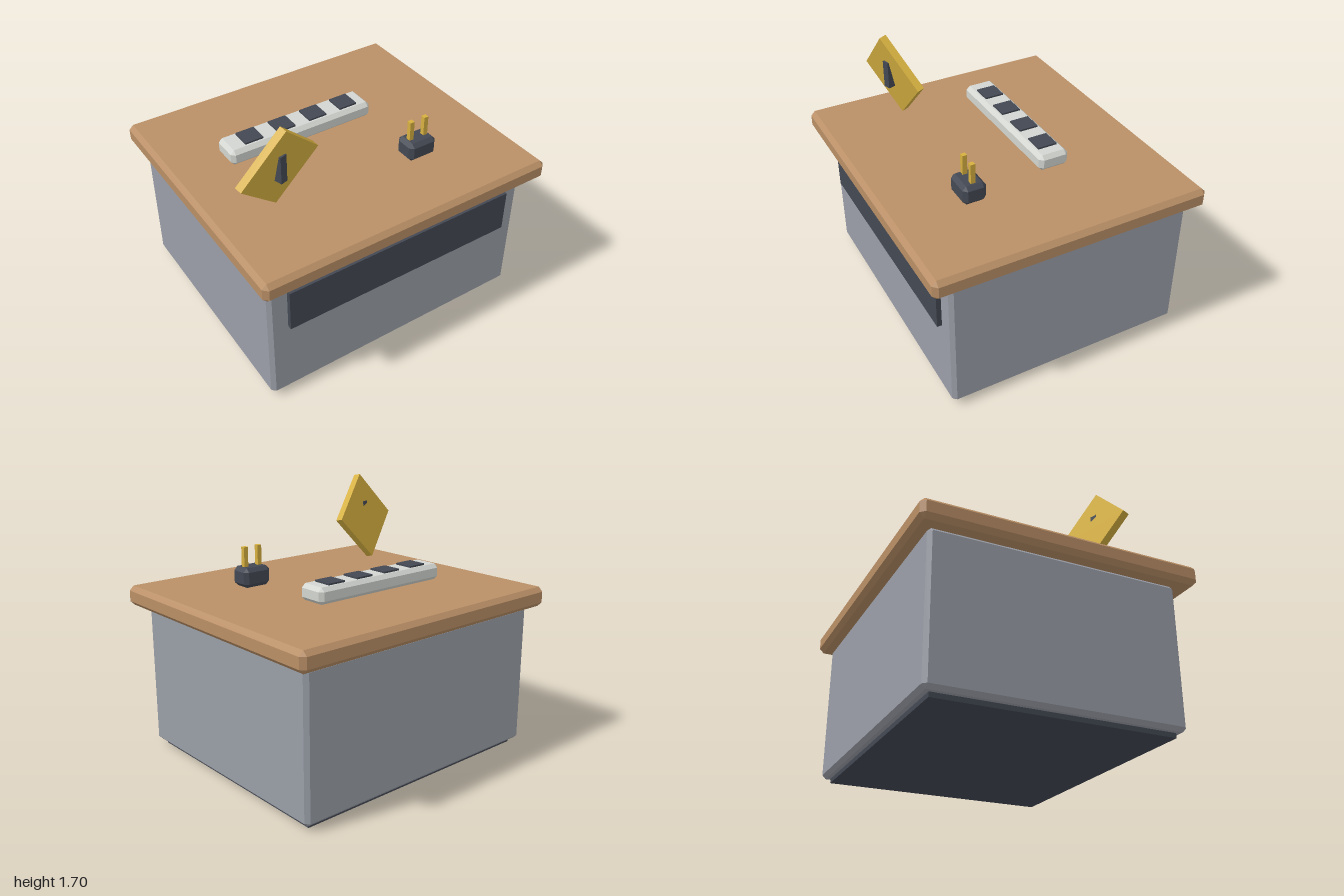
import * as THREE from 'three';
import { ConvexGeometry } from 'three/addons/geometries/ConvexGeometry.js';

const material = (name, color) => {
  const m = new THREE.MeshStandardMaterial({ color });
  m.name = name;
  return m;
};

// Box with every edge and corner cut at 45 degrees
function chamferedBox(w, h, d, c) {
  const points = [];
  for (const x of [-1, 1]) for (const y of [-1, 1]) for (const z of [-1, 1])
    for (let axis = 0; axis < 3; axis++) {
      const inset = [c, c, c];
      inset[axis] = 0;
      points.push(new THREE.Vector3(
        x * (w / 2 - inset[0]), y * (h / 2 - inset[1]), z * (d / 2 - inset[2])));
    }
  return new ConvexGeometry(points);
}

export function createModel() {
  const model = new THREE.Group();
  const wood = material('wood', 0xb98f66);
  const grey = material('cabinet grey', 0x9a9ea7);
  const dark = material('dark slate', 0x434853);
  const pale = material('pale plastic', 0xd2d5d0);
  const brass = material('brass', 0xd6b040);

  // Block spanning the given minimum and maximum corners
  function block(name, mat, [x0, y0, z0], [x1, y1, z1], chamfer = 0) {
    const size = [x1 - x0, y1 - y0, z1 - z0];
    const geometry = chamfer ? chamferedBox(...size, chamfer) : new THREE.BoxGeometry(...size);
    const mesh = new THREE.Mesh(geometry, mat);
    mesh.name = name;
    mesh.position.set((x0 + x1) / 2, (y0 + y1) / 2, (z0 + z1) / 2);
    model.add(mesh);
    return mesh;
  }

  // Desk
  block('plinth', dark, [-0.87, 0, -0.77], [0.87, 0.08, 0.72]);
  block('cabinet', grey, [-0.92, 0.03, -0.82], [0.92, 0.953, 0.77], 0.024);
  block('frontPanel', dark, [-0.797, 0.567, 0.75], [0.797, 0.85, 0.8]);
  block('tabletop', wood, [-1, 0.952, -0.895], [1, 1.08, 0.895], 0.029);

  // Socket strip with four dark sockets
  block('socketStrip', pale, [-0.642, 1.078, -0.308], [0.382, 1.185, -0.106], 0.025);
  for (let i = 0; i < 4; i++) {
    const x = -0.466 + i * 0.231;
    block('socket', dark, [x - 0.064, 1.175, -0.272], [x + 0.064, 1.196, -0.143]);
  }

  // Plug with two upright prongs
  block('plugBody', dark, [0.283, 1.08, 0.307], [0.482, 1.207, 0.458], 0.025);
  for (const x of [0.328, 0.433])
    block('plugProng', brass, [x - 0.015, 1.19, 0.368], [x + 0.015, 1.336, 0.398]);

  // Tilted diamond warning plate
  const sign = new THREE.Mesh(new THREE.BoxGeometry(0.41, 0.41, 0.048), brass);
  sign.name = 'warningPlate';
  sign.position.set(-0.617, 1.413, 0.41);
  sign.rotation.set(0.306, 0, Math.PI / 4, 'ZXY');
  model.add(sign);

  // Upright bar set through the plate
  const bar = new THREE.Mesh(new THREE.BoxGeometry(0.047, 0.18, 0.066), dark);
  bar.name = 'plateBar';
  bar.position.set(-0.622, 1.425, 0.437);
  bar.rotation.y = 0.295;
  model.add(bar);

  return model;
}
